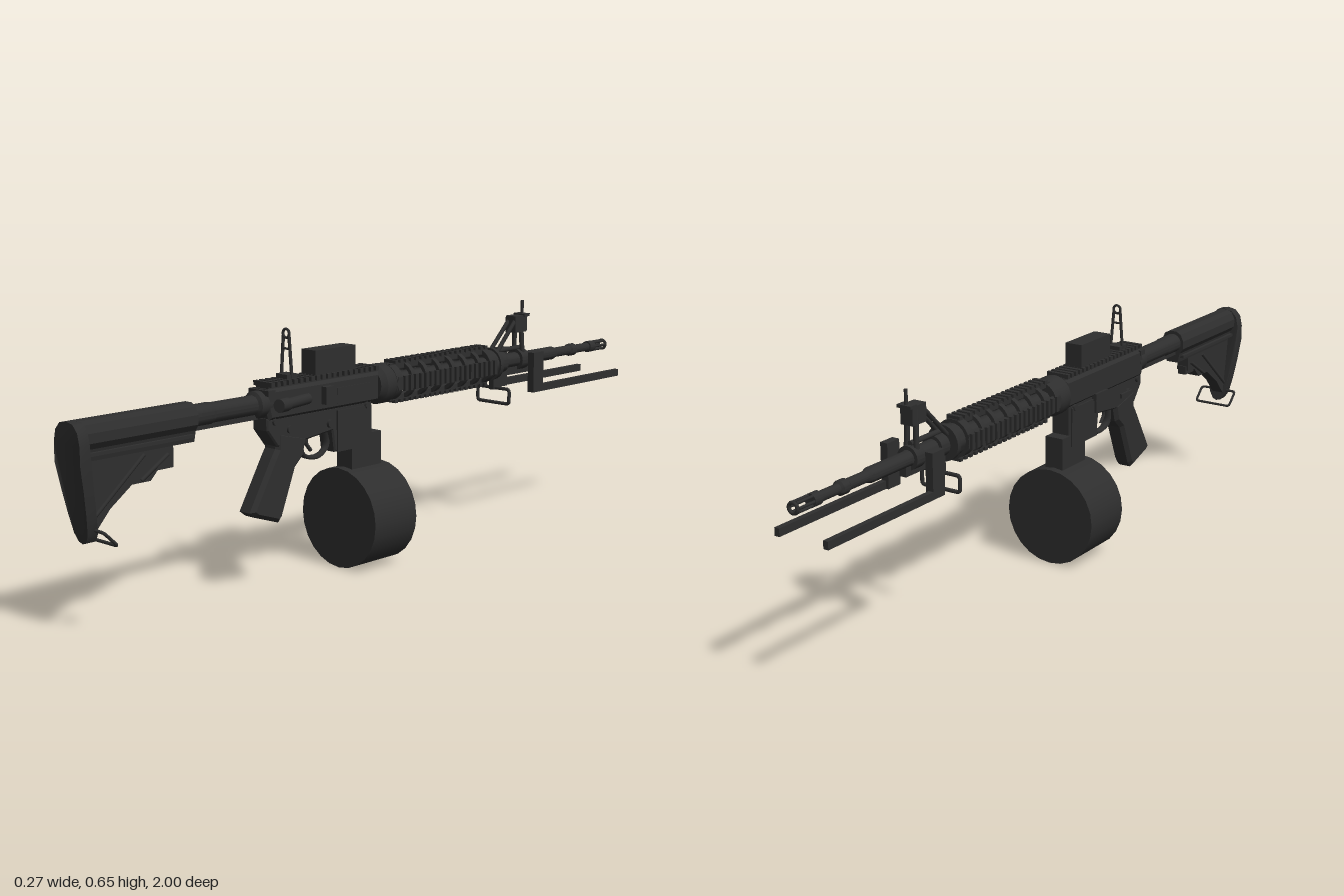
import * as THREE from 'three';
import { toCreasedNormals } from 'three/addons/utils/BufferGeometryUtils.js';

const AXIS = 0.47; // height of the barrel axis

export function createModel() {
  const root = new THREE.Group();
  const black = new THREE.MeshStandardMaterial({ color: 0x2e2e2e });
  black.name = 'matte black';

  const add = (name, geo, parent = root) => {
    const m = new THREE.Mesh(geo, black);
    m.name = name;
    parent.add(m);
    return m;
  };
  const group = (name) => {
    const g = new THREE.Group();
    g.name = name;
    root.add(g);
    return g;
  };
  // box given by its limits on each axis
  const box = (name, x0, x1, y0, y1, z0, z1, parent) =>
    add(name, new THREE.BoxGeometry(x1 - x0, y1 - y0, z1 - z0)
      .translate((x0 + x1) / 2, (y0 + y1) / 2, (z0 + z1) / 2), parent);
  const shapeOf = (pts) => new THREE.Shape(pts.map(([a, b]) => new THREE.Vector2(a, b)));
  // side outline of [z, y] points, extruded to a width across x
  const side = (name, pts, w, parent, bevel = 0) =>
    add(name, new THREE.ExtrudeGeometry(shapeOf(pts), {
      depth: w - 2 * bevel, bevelEnabled: bevel > 0, bevelSize: bevel, bevelOffset: -bevel,
      bevelThickness: bevel, bevelSegments: 1,
    }).rotateY(-Math.PI / 2).translate(w / 2 - bevel, 0, 0), parent);
  // turned part along z from [z, radius] points running toward the muzzle
  const turned = (name, pts, sides = 20, y = AXIS, parent = root) =>
    add(name, toCreasedNormals(new THREE.LatheGeometry(
      pts.map(([z, r]) => new THREE.Vector2(r, -z)), sides), 0.6)
      .rotateX(-Math.PI / 2).translate(0, y, 0), parent);
  const rod = (name, a, b, r, parent, sides = 8) => {
    const p = new THREE.Vector3(...a), q = new THREE.Vector3(...b);
    const d = q.clone().sub(p);
    const m = add(name, new THREE.CylinderGeometry(r, r, d.length(), sides), parent);
    m.position.copy(p).add(q).multiplyScalar(0.5);
    m.quaternion.setFromUnitVectors(new THREE.Vector3(0, 1, 0), d.normalize());
    return m;
  };
  // closed wire loop with rounded corners
  const loop = (name, pts, r, parent) => {
    const path = new THREE.CurvePath();
    const v = pts.map((p) => new THREE.Vector3(...p));
    v.forEach((p, i) => {
      const prev = v[(i + v.length - 1) % v.length], next = v[(i + 1) % v.length];
      const k = (o) => p.clone().add(o.clone().sub(p).setLength(0.009));
      path.add(new THREE.QuadraticBezierCurve3(k(prev), p, k(next)));
      path.add(new THREE.LineCurve3(k(next), next.clone().add(p.clone().sub(next).setLength(0.009))));
    });
    return add(name, new THREE.TubeGeometry(path, 64, r, 6, true), parent);
  };

  // Butt plate: egg-shaped outline whose lower end leans forward
  const half = [[0.024, 0.502], [0.04, 0.485], [0.047, 0.455], [0.047, 0.41], [0.042, 0.35],
    [0.034, 0.29], [0.025, 0.245], [0.013, 0.226]];
  const outline = [[0, 0.507], ...half, [0, 0.222], ...half.slice().reverse().map(([x, y]) => [-x, y])];
  const butt = new THREE.ExtrudeGeometry(shapeOf(outline), { depth: 0.028, bevelEnabled: false });
  butt.translate(0, 0, 0.972);
  const bp = butt.attributes.position;
  for (let i = 0; i < bp.count; i++) bp.setZ(i, bp.getZ(i) - Math.max(0, 0.41 - bp.getY(i)) * 0.18);
  add('buttPlate', toCreasedNormals(butt, 0.6));

  // Stock
  const stock = group('stock');
  const tubeShape = [[0.018, 0.412], [0.024, 0.44], [0.035, 0.455], [0.035, 0.478], [0.026, 0.497],
    [0.012, 0.505]];
  add('stockBody', new THREE.ExtrudeGeometry(
    shapeOf([...tubeShape, ...tubeShape.slice().reverse().map(([x, y]) => [-x, y])]),
    { depth: 0.33, bevelEnabled: false }).translate(0, 0, 0.65), stock);
  side('stockTail', [[0.98, 0.415], [0.714, 0.415], [0.714, 0.372], [0.755, 0.368], [0.783, 0.34],
    [0.837, 0.34], [0.9, 0.295], [0.95, 0.24], [0.965, 0.25]], 0.036, stock);
  for (const s of [-1, 1]) {
    box('stockRib', s * 0.026 - 0.006, s * 0.026 + 0.006, 0.425, 0.433, 0.66, 0.975, stock);
    rod('tailRib', [s * 0.018, 0.405, 0.8], [s * 0.018, 0.275, 0.955], 0.005, stock);
    rod('tailRib', [s * 0.018, 0.395, 0.73], [s * 0.018, 0.345, 0.81], 0.005, stock);
  }
  box('adjustLever', -0.013, 0.013, 0.36, 0.385, 0.71, 0.76, stock);
  loop('rearSlingLoop', [[-0.057, 0.255, 0.95], [0.057, 0.255, 0.95], [0.057, 0.218, 0.912],
    [-0.057, 0.218, 0.912]], 0.004, stock);
  turned('bufferTube', [[0.66, 0], [0.66, 0.027], [0.59, 0.027], [0.585, 0.025], [0.45, 0.025],
    [0.445, 0.034], [0.41, 0.034], [0.41, 0]]);
  box('bufferRidge', -0.01, 0.01, 0.435, 0.45, 0.44, 0.66);

  // Receiver
  const receiver = group('receiver');
  side('upperReceiver', [[0.42, 0.43], [0.43, 0.47], [0.42, 0.508], [0.03, 0.508], [0.03, 0.43]],
    0.066, receiver, 0.008);
  side('lowerReceiver', [[0.425, 0.435], [0.425, 0.405], [0.39, 0.36], [0.29, 0.365], [0.2, 0.375],
    [0.192, 0.318], [0.055, 0.318], [0.055, 0.435]], 0.054, receiver, 0.004);
  box('magazineWell', -0.031, 0.031, 0.318, 0.425, 0.06, 0.185, receiver);
  box('topRail', -0.022, 0.022, 0.505, 0.514, 0.03, 0.415, receiver);
  for (let i = 0; i < 20; i++) {
    const z = 0.035 + i * 0.0194;
    box('railTooth', -0.033, 0.033, 0.512, 0.524, z, z + 0.011, receiver);
  }
  box('chargingHandle', -0.036, 0.036, 0.492, 0.506, 0.405, 0.428, receiver);
  box('portCover', 0.03, 0.036, 0.445, 0.485, 0.07, 0.19, receiver);
  side('caseDeflector', [[0.245, 0.45], [0.245, 0.495], [0.215, 0.495], [0.2, 0.45]], 0.022, receiver)
    .position.x = 0.04;
  rod('forwardAssist', [0.03, 0.47, 0.29], [0.052, 0.47, 0.385], 0.014, receiver, 12);
  rod('assistButton', [0.05, 0.47, 0.38], [0.056, 0.47, 0.412], 0.017, receiver, 12);
  box('boltCatch', -0.038, -0.026, 0.385, 0.435, 0.17, 0.2, receiver);
  box('catchPaddle', -0.04, -0.026, 0.42, 0.44, 0.165, 0.225, receiver);
  rod('magazineButton', [0.025, 0.395, 0.21], [0.035, 0.395, 0.21], 0.011, receiver, 12);
  rod('selectorPin', [-0.035, 0.4, 0.35], [0.033, 0.4, 0.35], 0.01, receiver, 12);
  box('selectorLever', -0.039, -0.033, 0.394, 0.406, 0.3, 0.355, receiver);
  for (const z of [0.075, 0.4]) rod('takedownPin', [-0.034, 0.425, z], [0.034, 0.425, z], 0.009, receiver, 12);

  // Grip, trigger and guard
  side('grip', [[0.39, 0.4], [0.392, 0.355], [0.405, 0.335], [0.48, 0.207], [0.462, 0.193],
    [0.385, 0.167], [0.372, 0.182], [0.325, 0.3], [0.298, 0.325], [0.285, 0.375]], 0.056, root, 0.01);
  const guard = new THREE.CatmullRomCurve3([[0.372, 0.29], [0.322, 0.282], [0.31, 0.23], [0.33, 0.2],
    [0.37, 0.195]].map(([y, z]) => new THREE.Vector3(0, y, z)));
  add('triggerGuard', new THREE.TubeGeometry(guard, 20, 0.006, 6).scale(2, 1, 1));
  add('trigger', new THREE.TubeGeometry(new THREE.CatmullRomCurve3([
    new THREE.Vector3(0, 0.375, 0.262), new THREE.Vector3(0, 0.35, 0.268),
    new THREE.Vector3(0, 0.328, 0.252)]), 10, 0.005, 6));

  // Drum magazine
  add('drum', new THREE.CylinderGeometry(0.133, 0.133, 0.155, 24).rotateX(Math.PI / 2)
    .translate(0, 0.133, 0.0755));
  box('drumNeck', -0.027, 0.027, 0.24, 0.35, 0.02, 0.13);

  // Sights on the receiver
  box('opticBox', -0.025, 0.025, 0.52, 0.586, 0.113, 0.257);
  const rear = group('rearSight');
  box('rearSightBase', -0.02, 0.02, 0.518, 0.535, 0.315, 0.35, rear);
  add('rearSightRing', new THREE.TorusGeometry(0.011, 0.0035, 8, 20).translate(0, 0.635, 0.333), rear);
  for (const s of [-1, 1]) rod('rearSightLeg', [s * 0.019, 0.525, 0.333], [s * 0.01, 0.63, 0.333], 0.0042, rear);
  rod('rearSightBar', [-0.014, 0.597, 0.333], [0.014, 0.597, 0.333], 0.003, rear);

  // Handguard: four toothed rails joined by open rings
  const guardGroup = group('handguard');
  turned('slipRing', [[0.035, 0], [0.035, 0.042], [0.02, 0.053], [-0.01, 0.053], [-0.03, 0.043],
    [-0.03, 0]], 24, AXIS, guardGroup);
  for (let k = 0; k < 4; k++) {
    const rail = new THREE.Group();
    rail.name = 'guardRail';
    rail.position.y = AXIS;
    rail.rotation.z = k * Math.PI / 2;
    guardGroup.add(rail);
    box('railBar', -0.017, 0.017, 0.036, 0.049, -0.425, -0.025, rail);
    for (let i = 0; i < 19; i++) {
      const z = -0.042 - i * 0.0205;
      box('railTooth', -0.02, 0.02, 0.048, 0.057, z - 0.011, z, rail);
    }
  }
  const ring = new THREE.Shape().absarc(0, 0, 0.049, 0, Math.PI * 2);
  ring.holes.push(new THREE.Path().absarc(0, 0, 0.039, 0, Math.PI * 2, true));
  for (let i = 0; i < 8; i++) {
    const w = i % 7 ? 0.014 : 0.024;
    add('guardRing', toCreasedNormals(new THREE.ExtrudeGeometry(ring,
      { depth: w, bevelEnabled: false, curveSegments: 16 }), 0.6)
      .translate(0, AXIS, -0.032 - i * 0.0545 - w / 2), guardGroup);
  }
  turned('guardCap', [[-0.425, 0], [-0.425, 0.04], [-0.452, 0.04], [-0.452, 0.046], [-0.465, 0.046],
    [-0.465, 0]], 24, AXIS, guardGroup);

  // Barrel and slotted muzzle
  turned('barrel', [[0.03, 0], [0.03, 0.021], [-0.6, 0.021], [-0.605, 0.019], [-0.74, 0.019],
    [-0.755, 0.014], [-0.82, 0.014], [-0.825, 0.018], [-0.845, 0.018], [-0.85, 0.0125],
    [-0.915, 0.0125], [-0.915, 0.0165], [-0.94, 0.0165], [-0.94, 0]]);
  const muzzle = group('muzzle');
  for (let k = 0; k < 6; k++) {
    const a = k * Math.PI / 3;
    rod('muzzleProng', [Math.cos(a) * 0.0125, AXIS + Math.sin(a) * 0.0125, -0.935],
      [Math.cos(a) * 0.0125, AXIS + Math.sin(a) * 0.0125, -0.99], 0.004, muzzle, 6);
  }
  add('muzzleRing', new THREE.TorusGeometry(0.0125, 0.0045, 8, 20).translate(0, AXIS, -0.9945), muzzle);

  // Front sight frame and sling loop
  const front = group('frontSight');
  for (const z of [-0.49, -0.585]) turned('barrelBand', [[z + 0.016, 0], [z + 0.016, 0.03],
    [z - 0.016, 0.03], [z - 0.016, 0]], 20, AXIS, front);
  for (const s of [-1, 1]) {
    rod('sightBrace', [s * 0.013, 0.495, -0.465], [s * 0.011, 0.59, -0.56], 0.006, front);
    rod('sightLeg', [s * 0.015, 0.48, -0.585], [s * 0.011, 0.59, -0.58], 0.007, front);
  }
  box('sightHead', -0.018, 0.018, 0.55, 0.597, -0.6, -0.548, front);
  box('sightBar', -0.02, 0.02, 0.593, 0.601, -0.61, -0.585, front);
  rod('sightPost', [0, 0.59, -0.6], [0, 0.638, -0.6], 0.0045, front);
  rod('gasTube', [0, 0.503, -0.02], [0, 0.503, -0.59], 0.007, front);
  box('lowerLug', -0.01, 0.01, 0.43, 0.455, -0.62, -0.48, front);
  box('slingMount', -0.008, 0.008, 0.395, 0.45, -0.485, -0.465, front);
  loop('frontSlingLoop', [[-0.057, 0.4, -0.475], [0.057, 0.4, -0.475], [0.057, 0.358, -0.475],
    [-0.057, 0.358, -0.475]], 0.005, front);

  // Side forks beside the barrel
  for (const s of [-1, 1]) {
    const fork = group(s > 0 ? 'leftFork' : 'rightFork');
    const at = (a, b) => (s > 0 ? [a, b] : [-b, -a]);
    box('forkUpright', ...at(0.056, 0.077), 0.383, 0.497, -0.605, -0.56, fork);
    box('forkBar', ...at(0.063, 0.077), 0.383, 0.403, -0.975, -0.56, fork);
  }
  return root;
}
